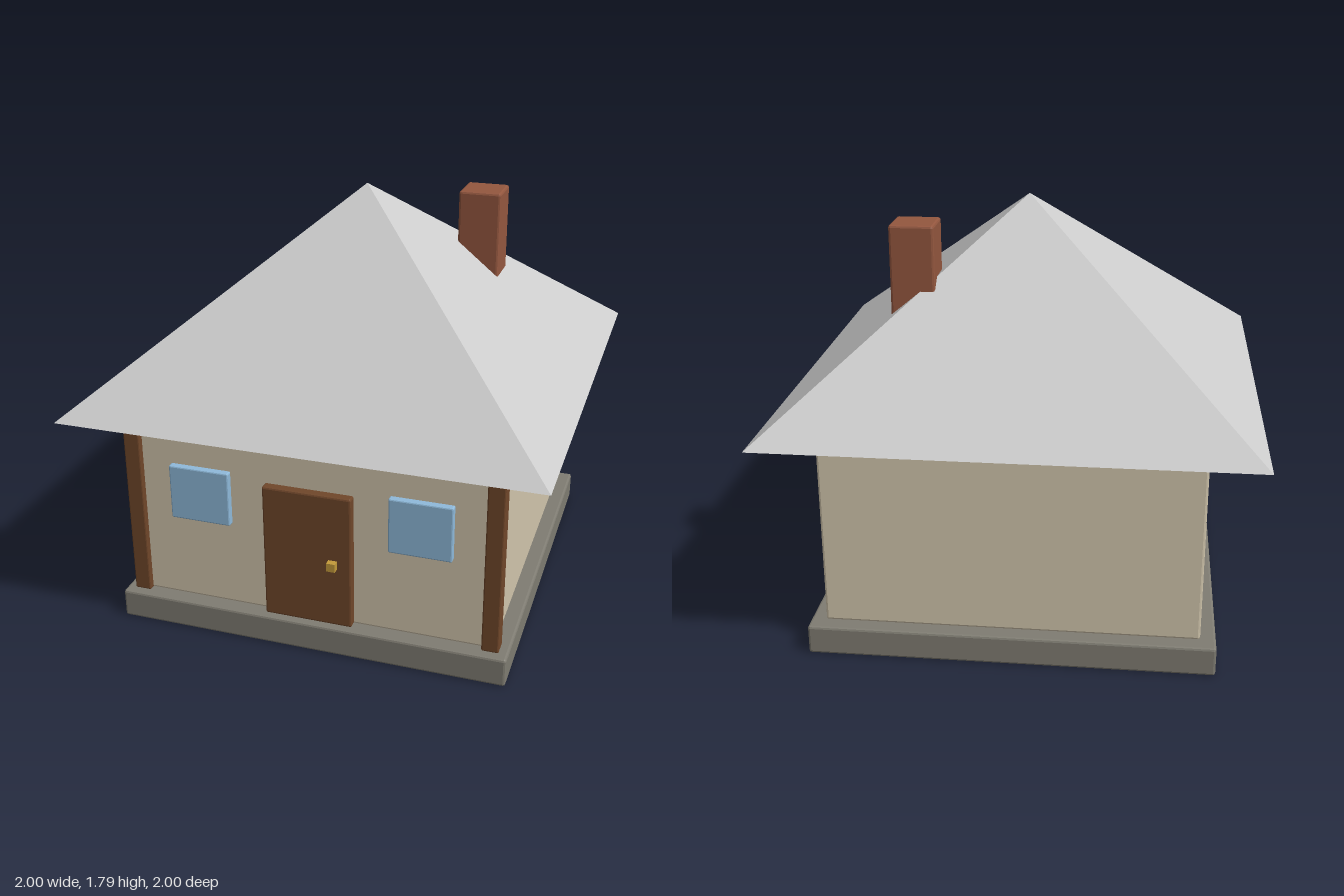
import * as THREE from 'three';
import { RoundedBoxGeometry } from 'three/addons/geometries/RoundedBoxGeometry.js';

const paint = (color) => new THREE.MeshStandardMaterial({ color, flatShading: true });

export function createModel() {
  const house = new THREE.Group();
  house.name = 'house';

  const stone = paint(0x7f7c72);
  const plaster = paint(0xd1c5ac);
  const wood = paint(0x70472a);
  const glass = paint(0x8fbadb);
  const brick = paint(0x94573f);
  const brass = paint(0xc39a3a);
  const roofGrey = paint(0xcccccc);

  // Box with softened edges, given by its two opposite corners
  function block(name, material, [x0, y0, z0], [x1, y1, z1], bevel = 0.01) {
    const size = [x1 - x0, y1 - y0, z1 - z0];
    const geometry = bevel
      ? new RoundedBoxGeometry(...size, 1, bevel)
      : new THREE.BoxGeometry(...size);
    const mesh = new THREE.Mesh(geometry, material);
    mesh.name = name;
    mesh.position.set((x0 + x1) / 2, (y0 + y1) / 2, (z0 + z1) / 2);
    house.add(mesh);
  }

  // Base and walls
  block('foundation', stone, [-0.845, 0, -0.845], [0.845, 0.125, 0.845]);
  block('walls', plaster, [-0.78, 0.125, -0.78], [0.78, 0.98, 0.78]);

  // Front corner posts and front windows
  for (const side of [-1, 1]) {
    const post = side * 0.77;
    block(side > 0 ? 'leftPost' : 'rightPost', wood,
      [post - 0.036, 0.125, 0.734], [post + 0.036, 0.978, 0.806], 0.006);
    const pane = side * 0.473;
    block(side > 0 ? 'leftFrontWindow' : 'rightFrontWindow', glass,
      [pane - 0.132, 0.51, 0.768], [pane + 0.132, 0.752, 0.808], 0.006);
  }

  // Side window
  block('sideWindow', glass, [0.768, 0.51, -0.132], [0.808, 0.752, 0.132], 0.006);

  // Door with its knob
  block('door', wood, [-0.19, 0.127, 0.765], [0.19, 0.725, 0.817], 0.008);
  block('doorKnob', brass, [0.093, 0.398, 0.808], [0.13, 0.435, 0.845], 0);

  // Pyramid roof, closed underneath
  const roof = new THREE.Mesh(
    new THREE.ConeGeometry(Math.SQRT2, 0.82, 4).rotateY(Math.PI / 4), roofGrey);
  roof.name = 'roof';
  roof.position.y = 0.975 + 0.41;
  house.add(roof);

  // Chimney rising through the roof
  block('chimney', brick, [0.347, 1.2, -0.408], [0.532, 1.732, -0.222]);

  return house;
}
